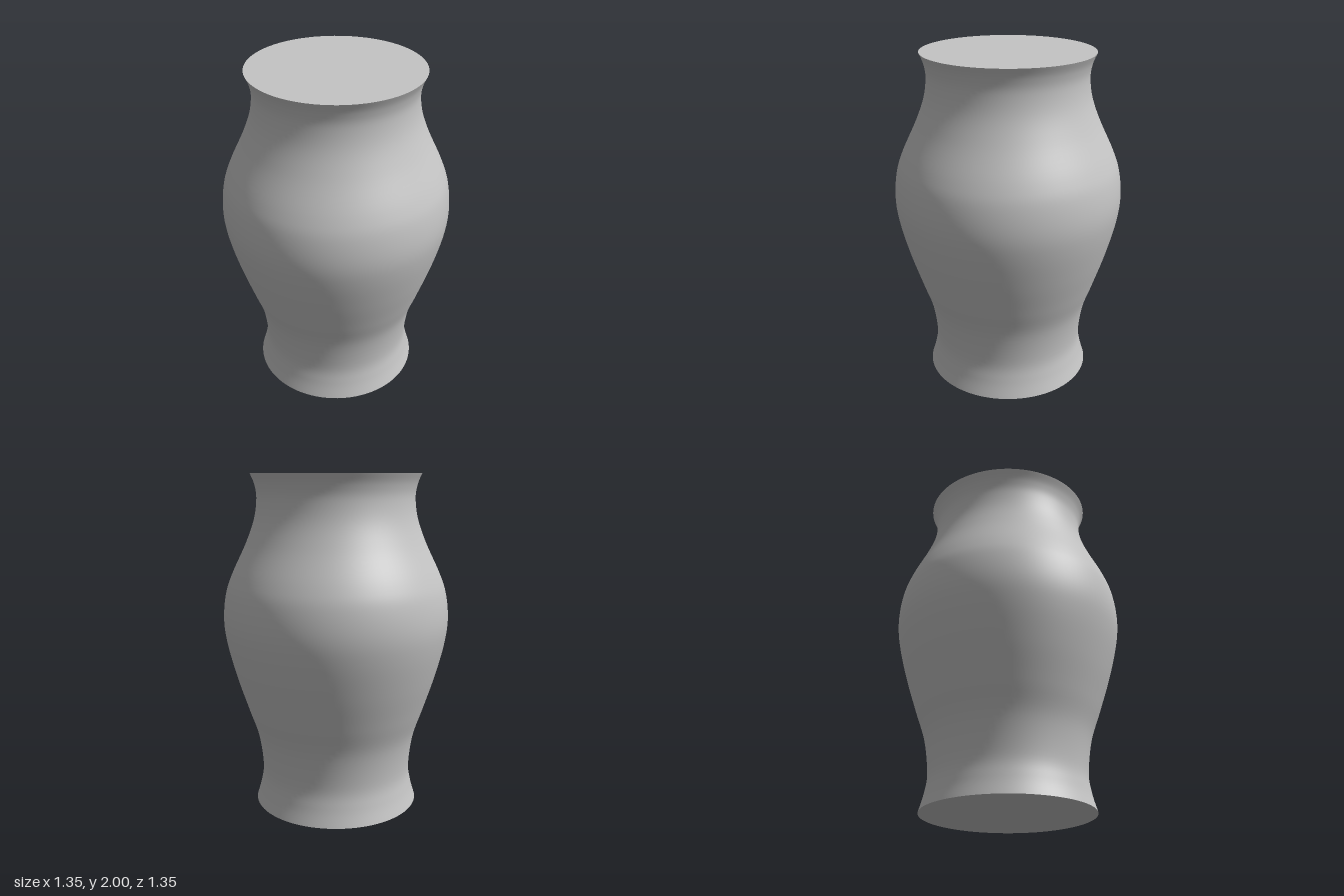
import * as THREE from 'three';

export function createModel() {
  const group = new THREE.Group();
  group.name = 'vase';
  const grey = new THREE.MeshStandardMaterial({ color: 0xc4c4c4 });
  grey.name = 'light grey';

  // Smooth wall: narrow foot, wide belly, narrow neck, flared rim
  const profile = new THREE.SplineCurve([
    [0.5, 0], [0.472, 0.1], [0.457, 0.22], [0.482, 0.42], [0.54, 0.6],
    [0.604, 0.8], [0.655, 1.0], [0.673, 1.15], [0.658, 1.3], [0.618, 1.42],
    [0.533, 1.6], [0.482, 1.74], [0.465, 1.86], [0.476, 1.94], [0.5, 2],
  ].map(([r, y]) => new THREE.Vector2(r, y)));
  const wall = new THREE.Mesh(new THREE.LatheGeometry(profile.getPoints(84), 96), grey);
  wall.name = 'wall';
  group.add(wall);

  // Flat discs closing both ends
  for (const [name, y, tilt] of [['topDisc', 2, -1], ['bottomDisc', 0, 1]]) {
    const disc = new THREE.Mesh(new THREE.CircleGeometry(0.5, 96), grey);
    disc.name = name;
    disc.position.y = y;
    disc.rotation.x = tilt * Math.PI / 2;
    group.add(disc);
  }
  return group;
}
